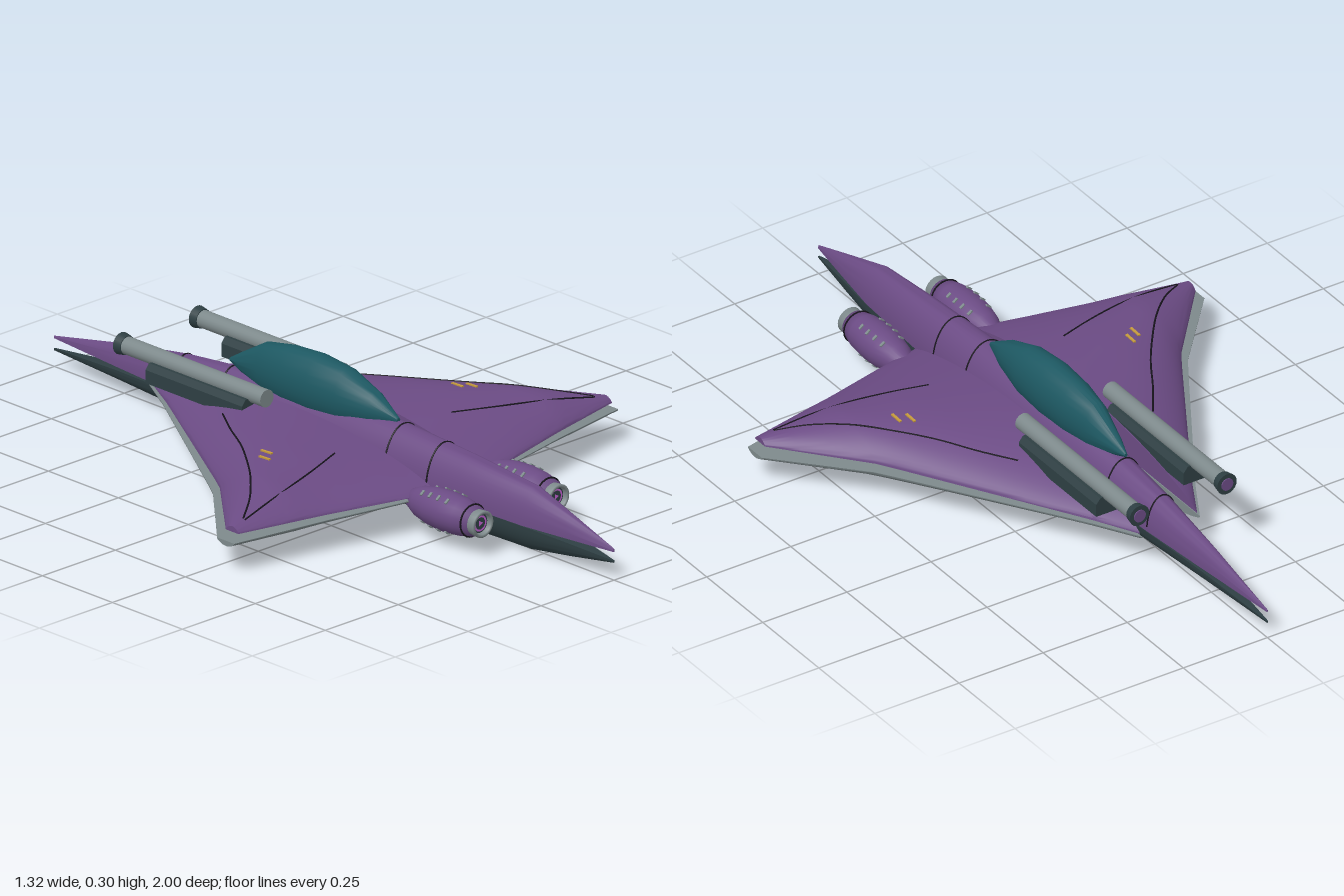
import * as THREE from 'three';
import { toCreasedNormals } from 'three/addons/utils/BufferGeometryUtils.js';

const paint = (name, color, side = THREE.FrontSide) => {
  const m = new THREE.MeshStandardMaterial({ color, side });
  m.name = name;
  return m;
};

// piecewise linear lookup in [[x, y], ...]
function at(table, x) {
  let i = 1;
  while (i < table.length - 1 && x > table[i][0]) i++;
  const [a, b] = [table[i - 1], table[i]];
  return a[1] + (b[1] - a[1]) * THREE.MathUtils.clamp((x - a[0]) / (b[0] - a[0]), 0, 1);
}

// closed skin through equal-length rings, with end caps
function loft(rings, crease = 0.7) {
  const n = rings[0].length, index = [], last = (rings.length - 1) * n;
  for (let i = 0; i < rings.length - 1; i++) {
    for (let j = 0; j < n; j++) {
      const a = i * n + j, b = i * n + (j + 1) % n;
      index.push(a, b, a + n, b, b + n, a + n);
    }
  }
  for (let j = 1; j < n - 1; j++) {
    index.push(0, j + 1, j, last, last + j, last + j + 1);
  }
  const g = new THREE.BufferGeometry();
  g.setAttribute('position', new THREE.Float32BufferAttribute(rings.flat(2), 3));
  g.setIndex(index);
  return toCreasedNormals(g, crease);
}

// arc of an ellipse at depth z
function arc(z, rx, ry, cy, from, to, n) {
  return Array.from({ length: n + 1 }, (_, j) => {
    const t = from + (to - from) * j / n;
    return [rx * Math.cos(t), cy + ry * Math.sin(t), z];
  });
}

// hull stations: z, half width, seam of top shell, top, seam of bottom shell, bottom
const HULL = [
  [-1, 0.002, 0.077, 0.083, 0.05, 0.044], [-0.75, 0.025, 0.077, 0.133, 0.068, 0.034],
  [-0.53, 0.045, 0.078, 0.168, 0.077, 0.024], [-0.36, 0.056, 0.079, 0.185, 0.079, 0.017],
  [-0.1, 0.071, 0.08, 0.2, 0.08, 0.007], [0.1, 0.074, 0.08, 0.208, 0.08, 0.002],
  [0.25, 0.071, 0.08, 0.205, 0.08, 0.001], [0.5, 0.06, 0.08, 0.19, 0.08, 0.001],
  [0.72, 0.046, 0.078, 0.172, 0.077, 0.005], [0.85, 0.026, 0.077, 0.132, 0.067, 0.023],
  [1, 0.002, 0.076, 0.085, 0.053, 0.047]];
const hullAt = (z, k) => at(HULL.map(s => [s[0], s[k]]), z);

// wing outline and thickness along the span
const LEAD = [[0.085, -0.56], [0.15, -0.44], [0.3, -0.19], [0.45, 0.06], [0.64, 0.28]];
const TRAIL = [[0.085, 0.45], [0.16, 0.435], [0.4, 0.375], [0.64, 0.325]];
const RISE = [[0.085, 0.085], [0.28, 0.075], [0.45, 0.06], [0.64, 0.014]];
const DROP = [[0.085, 0.074], [0.45, 0.045], [0.64, 0.012]];
const bulge = c => Math.pow(Math.max(0, Math.sin(Math.PI * c)), 0.7);
const upperBase = x => 0.1 + 0.006 * x / 0.64;
function wingTop(x, z) {
  const l = at(LEAD, x), t = at(TRAIL, x);
  return upperBase(x) + 0.001 + at(RISE, x) * bulge((z - l) / (t - l));
}

function wingHalf(side, lower) {
  const rings = [], spans = 18, n = 24;
  for (let i = 0; i <= spans; i++) {
    const x = 0.085 + 0.555 * i / spans, grow = lower ? 0.018 * i / spans : 0;
    const l = at(LEAD, x) - (lower ? 0.012 : 0), t = at(TRAIL, x) + (lower ? 0.004 : 0);
    const over = [], under = [];
    for (let j = 0; j <= n; j++) {
      const c = (1 - Math.cos(Math.PI * j / n)) / 2, z = l + (t - l) * c;
      const yTop = lower ? 0.098 - 0.012 * i / spans : upperBase(x) + at(RISE, x) * bulge(c) + 0.001;
      const yLow = lower ? yTop - 0.002 - at(DROP, x) * bulge(c) : upperBase(x);
      over.push([side * (x + grow), yTop, z]);
      under.unshift([side * (x + grow), yLow, z]);
    }
    const ring = [...over, ...under];
    rings.push(side < 0 ? ring.reverse() : ring);
  }
  return loft(rings);
}

export function createModel() {
  const purple = paint('purple hull', 0x6b4b84);
  const grey = paint('grey metal', 0x7d898b);
  const dark = paint('dark hull', 0x2e3f43);
  const teal = paint('teal canopy', 0x1d5862);
  const black = paint('panel line', 0x17141c);
  const yellow = paint('yellow mark', 0xc49a3c);
  const glow = paint('magenta glow', 0xc663d6, THREE.DoubleSide);

  const model = new THREE.Group();
  const add = (name, geometry, material, x = 0, y = 0, z = 0, parent = model) => {
    const m = new THREE.Mesh(geometry, material);
    m.name = name;
    m.position.set(x, y, z);
    parent.add(m);
    return m;
  };
  const line = (name, pts, r = 0.0025) => add(name, new THREE.TubeGeometry(
    new THREE.CatmullRomCurve3(pts.map(p => new THREE.Vector3(...p))), 28, r, 5), black);
  const rod = (r1, r2, len, sides = 20) => new THREE.CylinderGeometry(r1, r2, len, sides).rotateX(Math.PI / 2);

  // split fuselage
  add('upperHull', loft(HULL.map(([z, w, b, t]) => arc(z, w, t - b, b, 0, Math.PI, 20))), purple);
  add('lowerHull', loft(HULL.map(([z, w, , , t, b]) => arc(z, w, t - b, t, Math.PI, 2 * Math.PI, 20))), dark);
  for (const z of [-0.53, -0.36, 0.25, 0.395]) {
    const b = hullAt(z, 2);
    line('hullSeam', arc(z, hullAt(z, 1), hullAt(z, 3) - b, b, 0.15, Math.PI - 0.15, 12));
  }

  // canopy: z, half width, centre height, half height
  const CANOPY = [[-0.37, 0.004, 0.2, 0.005], [-0.33, 0.017, 0.205, 0.025], [-0.24, 0.038, 0.215, 0.068],
    [-0.15, 0.052, 0.22, 0.079], [-0.05, 0.057, 0.222, 0.083], [0.05, 0.052, 0.22, 0.075],
    [0.15, 0.033, 0.215, 0.045], [0.23, 0.006, 0.207, 0.006]];
  add('canopy', loft(CANOPY.map(([z, w, y, h]) => arc(z, w, h, y, 0, 2 * Math.PI, 24).slice(0, 24))), teal);

  for (const s of [1, -1]) {
    const side = s > 0 ? 'left' : 'right';

    // wing shells, panel lines and marks
    add(side + 'UpperWing', wingHalf(s, false), purple);
    add(side + 'LowerWing', wingHalf(s, true), grey);
    const onWing = pts => pts.map(([x, z]) => [s * x, wingTop(x, z), z]);
    line(side + 'LeadingSeam', onWing([[0.2, -0.19], [0.26, -0.1], [0.32, 0], [0.385, 0.09], [0.45, 0.17], [0.53, 0.25], [0.6, 0.3]]));
    line(side + 'TrailingSeam', onWing([[0.2, 0.21], [0.3, 0.243], [0.4, 0.27], [0.5, 0.29], [0.6, 0.305]]));
    for (const [x, z] of [[0.327, 0.1], [0.355, 0.122]]) {
      const mark = add(side + 'WingMark', new THREE.BoxGeometry(0.007, 0.006, 0.038), yellow, s * x, wingTop(x, z), z);
      mark.rotation.x = -Math.atan2(wingTop(x, z + 0.02) - wingTop(x, z - 0.02), 0.04);
    }

    // cannon on its housing
    const gun = new THREE.Group();
    gun.name = side + 'Cannon';
    gun.position.set(s * 0.13, 0, 0);
    model.add(gun);
    const block = new THREE.Shape();
    [[-0.042, 0.147], [0.042, 0.147], [0.042, 0.182], [0.03, 0.197], [-0.03, 0.197], [-0.042, 0.182]]
      .forEach(([x, y], i) => (i ? block.lineTo(x, y) : block.moveTo(x, y)));
    add('gunHousing', new THREE.ExtrudeGeometry(block, { depth: 0.345, bevelEnabled: false }), dark, 0, 0, -0.495, gun);
    add('gunBarrel', rod(0.023, 0.023, 0.5), grey, 0, 0.205, -0.355, gun);
    add('muzzle', rod(0.025, 0.029, 0.022), dark, 0, 0.205, -0.614, gun);
    add('muzzleCore', rod(0.017, 0.017, 0.004), purple, 0, 0.205, -0.626, gun);

    // engine pod
    const pod = new THREE.Group();
    pod.name = side + 'Engine';
    pod.position.set(s * 0.13, 0.09, 0);
    model.add(pod);
    const profile = [[0, 0.39], [0.022, 0.41], [0.04, 0.45], [0.05, 0.5], [0.052, 0.55], [0.048, 0.6], [0.037, 0.645], [0, 0.645]];
    const podBody = new THREE.LatheGeometry(profile.map(([r, z]) => new THREE.Vector2(r, z)), 24).rotateX(Math.PI / 2);
    add('podBody', podBody, purple, 0, 0, 0, pod);
    add('podSeam', new THREE.TorusGeometry(0.042, 0.0025, 5, 24), black, 0, 0, 0.63, pod);
    add('nozzle', new THREE.LatheGeometry([[0.033, 0.64], [0.035, 0.668], [0.027, 0.668], [0.025, 0.65]]
      .map(([r, z]) => new THREE.Vector2(r, z)), 24).rotateX(Math.PI / 2), grey, 0, 0, 0, pod);
    add('nozzleThroat', rod(0.027, 0.027, 0.01), dark, 0, 0, 0.651, pod);
    add('exhaustRing', new THREE.RingGeometry(0.016, 0.021, 20), glow, 0, 0, 0.658, pod);
    add('exhaustCore', new THREE.CircleGeometry(0.009, 3), glow, 0, 0, 0.658, pod);
    for (const z of [0.48, 0.51, 0.54, 0.57]) {
      for (const a of [0.3, 0.7, 1.3, 1.7].map(k => k * Math.PI)) {
        const r = at(profile.slice(0, 7).map(([rr, zz]) => [zz, rr]), z);
        const vent = add('podVent', new THREE.BoxGeometry(0.006, 0.015, 0.007), grey, r * Math.cos(a), r * Math.sin(a), z, pod);
        vent.rotation.z = a;
      }
    }
  }
  return model;
}
